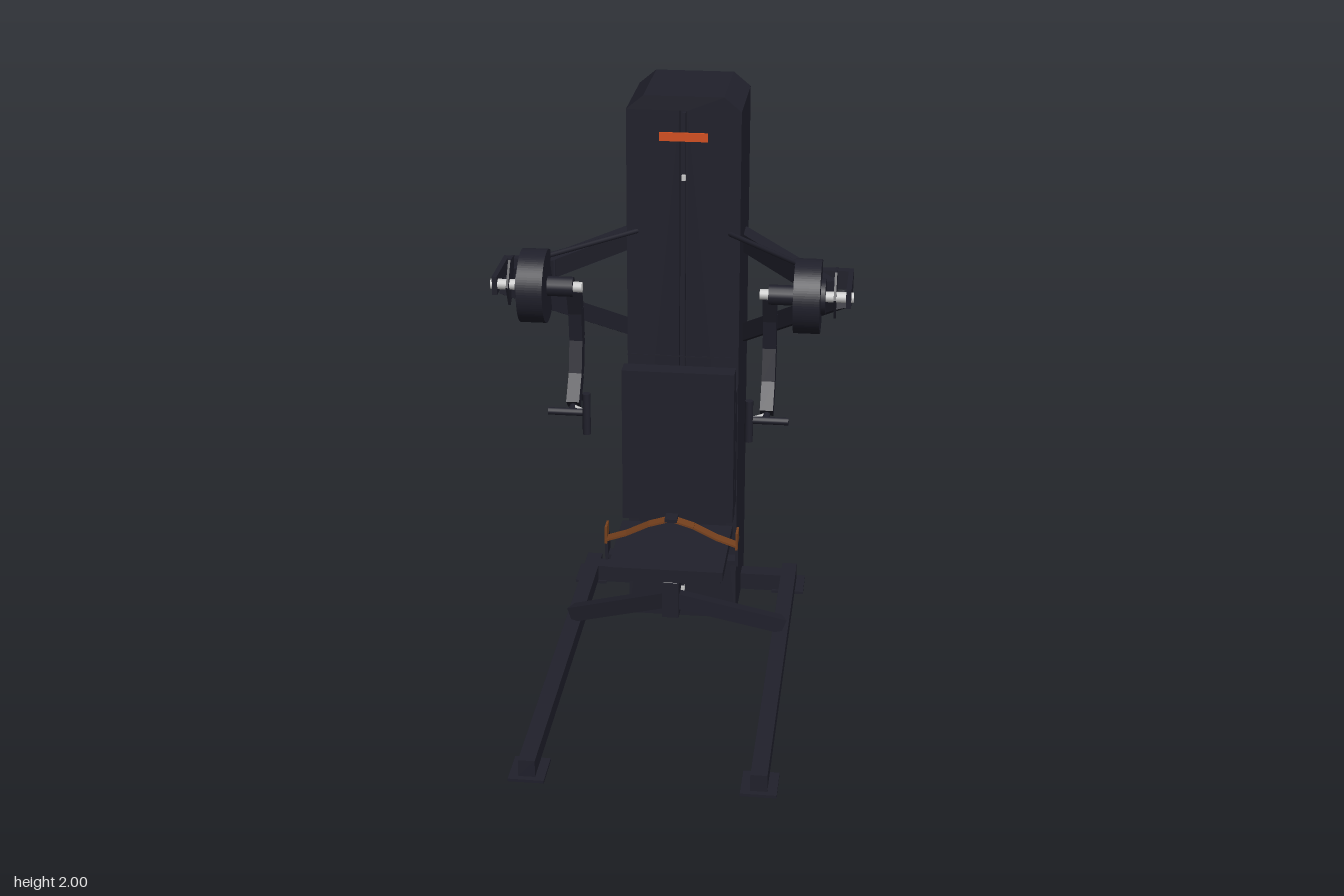
import * as THREE from 'three';

const mat = (name, color) => {
  const m = new THREE.MeshStandardMaterial({ color });
  m.name = name;
  return m;
};

export function createModel() {
  const root = new THREE.Group();
  root.name = 'shoulderPressMachine';
  const dark = mat('darkSteel', 0x20202b);
  const chrome = mat('chrome', 0xc9c9c9);
  const orange = mat('orange', 0xd4501f);
  const brown = mat('strapBrown', 0x75401d);

  const add = (name, geo, m = dark, parent = root) => {
    const mesh = new THREE.Mesh(geo, m);
    mesh.name = name;
    parent.add(mesh);
    return mesh;
  };
  // Box given by its limits on each axis
  const box = (name, [x0, x1], [y0, y1], [z0, z1], m, parent) => add(name,
    new THREE.BoxGeometry(x1 - x0, y1 - y0, z1 - z0)
      .translate((x0 + x1) / 2, (y0 + y1) / 2, (z0 + z1) / 2), m, parent);
  // Rectangular beam between two points, w across and h upright
  const beam = (name, a, b, w, h, m, parent) => {
    const p = new THREE.Vector3(...a), q = new THREE.Vector3(...b);
    const mesh = add(name, new THREE.BoxGeometry(w, h, p.distanceTo(q)), m, parent);
    mesh.position.copy(p).lerp(q, 0.5);
    mesh.lookAt(q);
    return mesh;
  };
  // Round bar between two points
  const rod = (name, a, b, r, m, parent, sides = 14) => {
    const p = new THREE.Vector3(...a), q = new THREE.Vector3(...b);
    const mesh = add(name, new THREE.CylinderGeometry(r, r, p.distanceTo(q), sides), m, parent);
    mesh.position.copy(p).lerp(q, 0.5);
    mesh.quaternion.setFromUnitVectors(new THREE.Vector3(0, 1, 0), q.sub(p).normalize());
    return mesh;
  };

  // Weight column with bevelled top and a front slot
  const outline = () => new THREE.Shape([[-0.2, 0], [0.2, 0], [0.2, 1.95], [0.14, 2], [-0.14, 2], [-0.2, 1.95]]
    .map(p => new THREE.Vector2(...p)));
  const slab = (shape, z0, z1) => new THREE.ExtrudeGeometry(shape, { depth: z1 - z0, bevelEnabled: false }).translate(0, 0, z0);
  add('column', slab(outline(), -0.79, -0.45));
  const face = outline();
  face.holes.push(new THREE.Path([[-0.014, 0.03], [-0.014, 1.95], [0.014, 1.95], [0.014, 0.03]]
    .map(p => new THREE.Vector2(...p))));
  add('columnFront', slab(face, -0.45, -0.42));
  box('slotCable', [-0.006, 0.006], [0.03, 1.94], [-0.449, -0.43]);
  box('seamTrim', [-0.2, 0.2], [1.045, 1.05], [-0.42, -0.418]);
  for (const y of [0.1, 1.7]) box('cableClip', [-0.007, 0.007], [y, y + 0.02], [-0.44, -0.422], chrome);
  box('columnBadge', [-0.085, 0.085], [1.843, 1.873], [-0.42, -0.412], orange);

  // Base
  box('rearCrossBar', [-0.36, 0.36], [0.005, 0.07], [-0.715, -0.65]);
  for (const s of [-1, 1]) {
    const x = s * 0.382;
    box('baseRail', [x - 0.028, x + 0.028], [0.01, 0.07], [-0.76, 0.77]);
    box('frontFoot', [x - 0.06, x + 0.06], [0, 0.01], [0.65, 0.79]);
    box('rearFoot', [x - 0.06, x + 0.06], [0, 0.01], [-0.78, -0.64]);
    beam('seatLeg', [0, 0.265, -0.055], [s * 0.385, 0.085, -0.235], 0.05, 0.055);
  }

  // Seat and backrest
  box('seatPost', [-0.03, 0.03], [0.2, 0.335], [-0.08, -0.025]);
  box('seatTube', [-0.024, 0.024], [0.33, 0.42], [-0.078, -0.03], chrome);
  beam('backSupport', [0, 0.3, -0.07], [0, 0.43, -0.36], 0.06, 0.05);
  box('seatBoard', [-0.19, 0.19], [0.415, 0.435], [-0.235, 0.12]);
  box('seatPad', [-0.2, 0.2], [0.433, 0.468], [-0.245, 0.13]);
  box('backPad', [-0.2, 0.2], [0.475, 1.05], [-0.322, -0.252]);
  box('backPost', [-0.032, 0.032], [0.43, 0.955], [-0.388, -0.322]);
  box('backBoard', [-0.2, 0.2], [0.5, 0.95], [-0.388, -0.328]);

  // Lap belt
  box('beltBar', [-0.235, 0.235], [0.4, 0.418], [-0.115, -0.065]);
  for (const s of [-1, 1]) {
    const x = s * 0.232;
    box('beltBracket', [x - 0.005, x + 0.005], [0.4, 0.49], [-0.12, -0.06]);
    box('beltTab', [x - 0.004, x + 0.004], [0.47, 0.535], [-0.1, -0.045], brown);
    const path = [[0.232, 0.485], [0.16, 0.51], [0.08, 0.55], [0, 0.575]];
    for (let i = 0; i < 3; i++) {
      const [a, b] = [path[i], path[i + 1]];
      beam('beltStrap', [s * a[0], a[1], -0.06], [s * b[0], b[1], -0.06], 0.042, 0.007, brown);
    }
  }
  box('beltBuckle', [-0.022, 0.022], [0.57, 0.582], [-0.088, -0.034]);

  // Press arms, mirrored on both sides
  const axisY = 1.432, axisZ = -0.038;
  for (const s of [-1, 1]) {
    const g = new THREE.Group();
    g.name = s > 0 ? 'leftPressArm' : 'rightPressArm';
    root.add(g);
    const span = (a, b) => s > 0 ? [a, b] : [-b, -a];

    // Frame carrying the pivot
    beam('upperArm', [s * 0.18, 1.432, -0.65], [s * 0.53, 1.432, -0.1], 0.055, 0.066, dark, g);
    beam('lowerArm', [s * 0.18, 1.055, -0.65], [s * 0.565, 1.41, -0.075], 0.05, 0.06, dark, g);
    box('pivotBridge', span(0.42, 0.605), [1.4, 1.465], [-0.243, -0.21], dark, g);
    box('pivotPlate', span(0.588, 0.605), [1.4, 1.465], [-0.24, -0.015], dark, g);
    rod('linkCable', [s * 0.16, 1.512, -0.43], [s * 0.43, 1.512, -0.12], 0.009, dark, g, 8);

    // Cam wheel with its rear cut away
    const cam = new THREE.Shape();
    cam.absarc(0, 0, 0.125, -2.15, 2.15);
    cam.lineTo(-0.055, 0.06);
    cam.lineTo(-0.085, 0);
    cam.lineTo(-0.055, -0.06);
    const camGeo = new THREE.ExtrudeGeometry(cam, { depth: 0.088, bevelEnabled: false, curveSegments: 32 })
      .translate(0, 0, -0.044).rotateY(-Math.PI / 2);
    add('camWheel', camGeo, dark, g).position.set(s * 0.461, axisY, axisZ);
    rod('camHub', [s * 0.5, axisY, axisZ], [s * 0.52, axisY, axisZ], 0.06, dark, g, 20);
    beam('camStop', [s * 0.485, 1.44, -0.135], [s * 0.485, 1.515, -0.085], 0.014, 0.02, orange, g);

    // Pivot shaft and adjusting lever
    rod('shaft', [s * 0.3, axisY, axisZ], [s * 0.613, axisY, axisZ], 0.018, chrome, g);
    rod('shaftCollar', [s * 0.33, axisY, axisZ], [s * 0.42, axisY, axisZ], 0.034, dark, g);
    const lever = new THREE.Shape([[-0.09, 0.075], [-0.02, 0.08], [0.04, 0], [0, -0.075], [-0.05, -0.04]]
      .map(p => new THREE.Vector2(...p)));
    add('lever', new THREE.ExtrudeGeometry(lever, { depth: 0.008, bevelEnabled: false })
      .translate(0, 0, -0.004).rotateY(-Math.PI / 2), dark, g).position.set(s * 0.551, axisY, axisZ);

    // Curved hanging arm
    const bend = [[1.425, -0.055], [1.33, -0.093], [1.22, -0.108], [1.1, -0.078], [1.015, -0.008]];
    for (let i = 0; i < 4; i++) {
      const [a, b] = [bend[i], bend[i + 1]];
      beam('hangingArm', [s * 0.332, a[0], a[1]], [s * 0.332, b[0], b[1]], 0.045, 0.056, dark, g);
    }

    // Handle
    rod('handleBar', [s * 0.275, 1.012, 0.05], [s * 0.41, 1.012, 0.05], 0.013, dark, g);
    rod('handleStem', [s * 0.332, 1.012, -0.01], [s * 0.332, 1.012, 0.05], 0.012, dark, g);
    rod('handleJoint', [s * 0.325, 1.012, 0.01], [s * 0.28, 1.012, 0.05], 0.009, chrome, g);
    rod('handleGrip', [s * 0.277, 0.937, 0.058], [s * 0.277, 1.085, 0.058], 0.014, dark, g);
  }
  return root;
}
